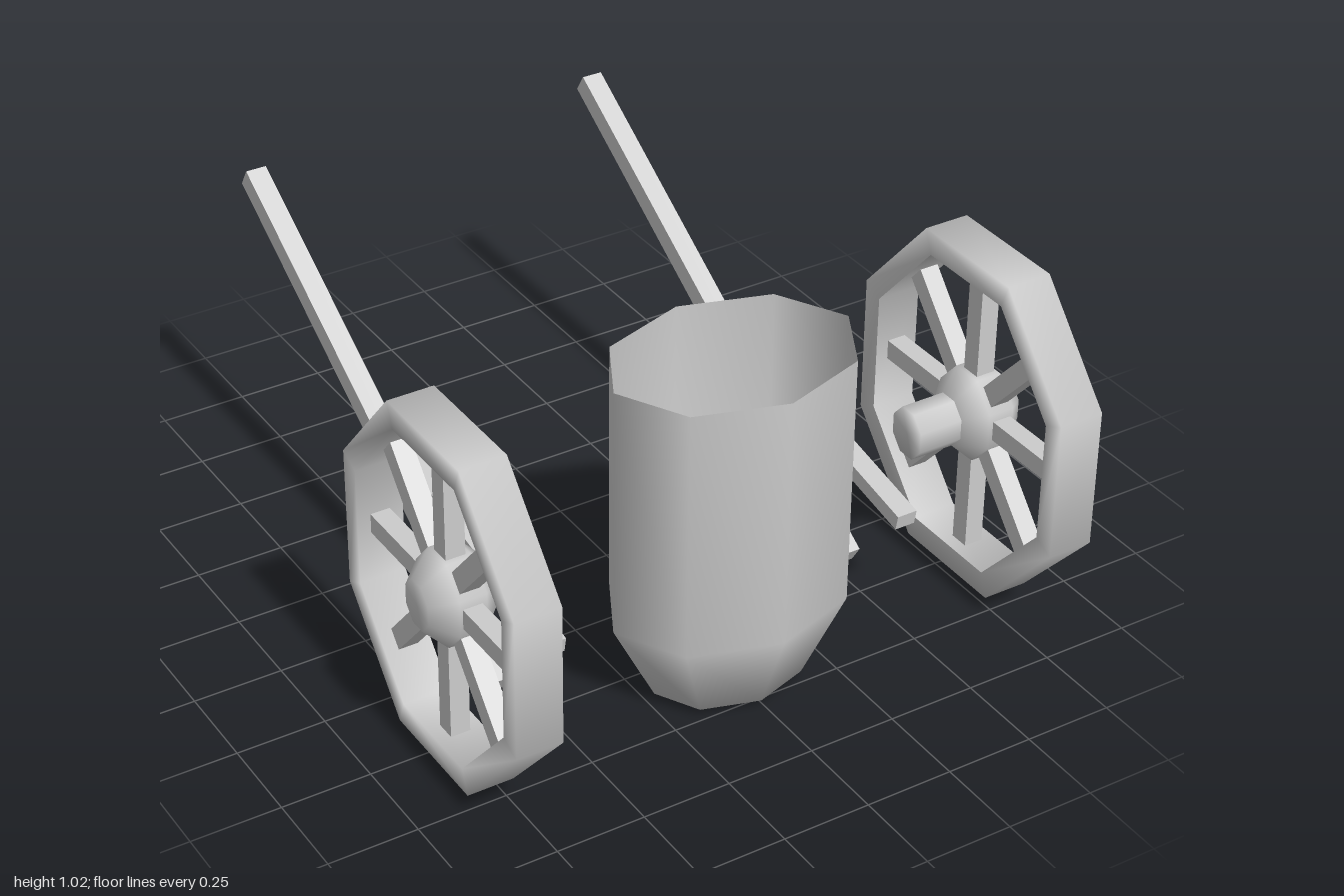
import * as THREE from 'three';

const grey = new THREE.MeshStandardMaterial({ color: 0xcccccc, side: THREE.DoubleSide });

function add(parent, name, geometry) {
  const mesh = new THREE.Mesh(geometry, grey);
  mesh.name = name;
  parent.add(mesh);
  return mesh;
}

// Eight-sided turned part; points are [radius, position along x].
function turnedX(points) {
  const profile = points.map(([r, x]) => new THREE.Vector2(r, x));
  return new THREE.LatheGeometry(profile, 8, Math.PI / 8).rotateZ(-Math.PI / 2);
}

// Square bar between two [y, z] points, lying in the plane x.
function bar(parent, name, x, [y0, z0], [y1, z1], width, thick) {
  const length = Math.hypot(y1 - y0, z1 - z0);
  const mesh = add(parent, name, new THREE.BoxGeometry(width, length, thick));
  mesh.position.set(x, (y0 + y1) / 2, (z0 + z1) / 2);
  mesh.rotation.x = Math.atan2(z1 - z0, y1 - y0);
  return mesh;
}

// Wheel with hub, spokes and axle stub; its outer side faces +x.
function makeWheel() {
  const wheel = new THREE.Group();
  const stretch = 1.14; // the wheel is slightly taller than wide

  const rim = turnedX([[0.395, -0.065], [0.46, -0.065], [0.46, 0.065], [0.395, 0.065], [0.395, -0.065]]);
  add(wheel, 'rim', rim).scale.y = stretch;

  const hub = turnedX([[0, -0.095], [0.066, -0.095], [0.118, -0.04], [0.118, 0.035], [0.062, 0.095], [0, 0.095]]);
  add(wheel, 'hub', hub).scale.y = stretch;

  const axle = turnedX([[0, -0.225], [0.066, -0.225], [0.066, -0.09]]);
  add(wheel, 'axle', axle).scale.y = stretch;

  for (let i = 0; i < 8; i++) {
    const a = (i * Math.PI) / 4;
    const reach = i % 2 ? 0.385 : 0.375;
    const at = (r) => [r * stretch * Math.cos(a), r * Math.sin(a)];
    bar(wheel, 'spoke', 0, at(0.08), at(reach), 0.055, 0.056);
  }
  return wheel;
}

export function createModel() {
  const model = new THREE.Group();

  // Open eight-sided tub with a tapered foot
  const tubProfile = [[0, 0.025], [0.64, 0.025], [1, 0.27], [1, 0.99]].map(([r, y]) => new THREE.Vector2(r, y));
  const tub = add(model, 'tub', new THREE.LatheGeometry(tubProfile, 8));
  tub.scale.set(0.345, 1, 0.263);
  tub.position.set(-0.01, 0, 0.615);

  for (const side of [1, -1]) {
    const wheel = makeWheel();
    wheel.name = side > 0 ? 'leftWheel' : 'rightWheel';
    wheel.position.set(side * 0.795, 0.535, 0.575);
    wheel.rotation.y = side > 0 ? 0 : Math.PI;
    model.add(wheel);

    // Long handle sloping up to the back, with its strut
    const x = side * 0.538;
    bar(model, 'handle', x, [0.03, 0.38], [0.89, -0.982], 0.06, 0.062);
    bar(model, 'strut', x, [0.305, 0.635], [0.485, -0.27], 0.06, 0.045);
  }
  return model;
}
